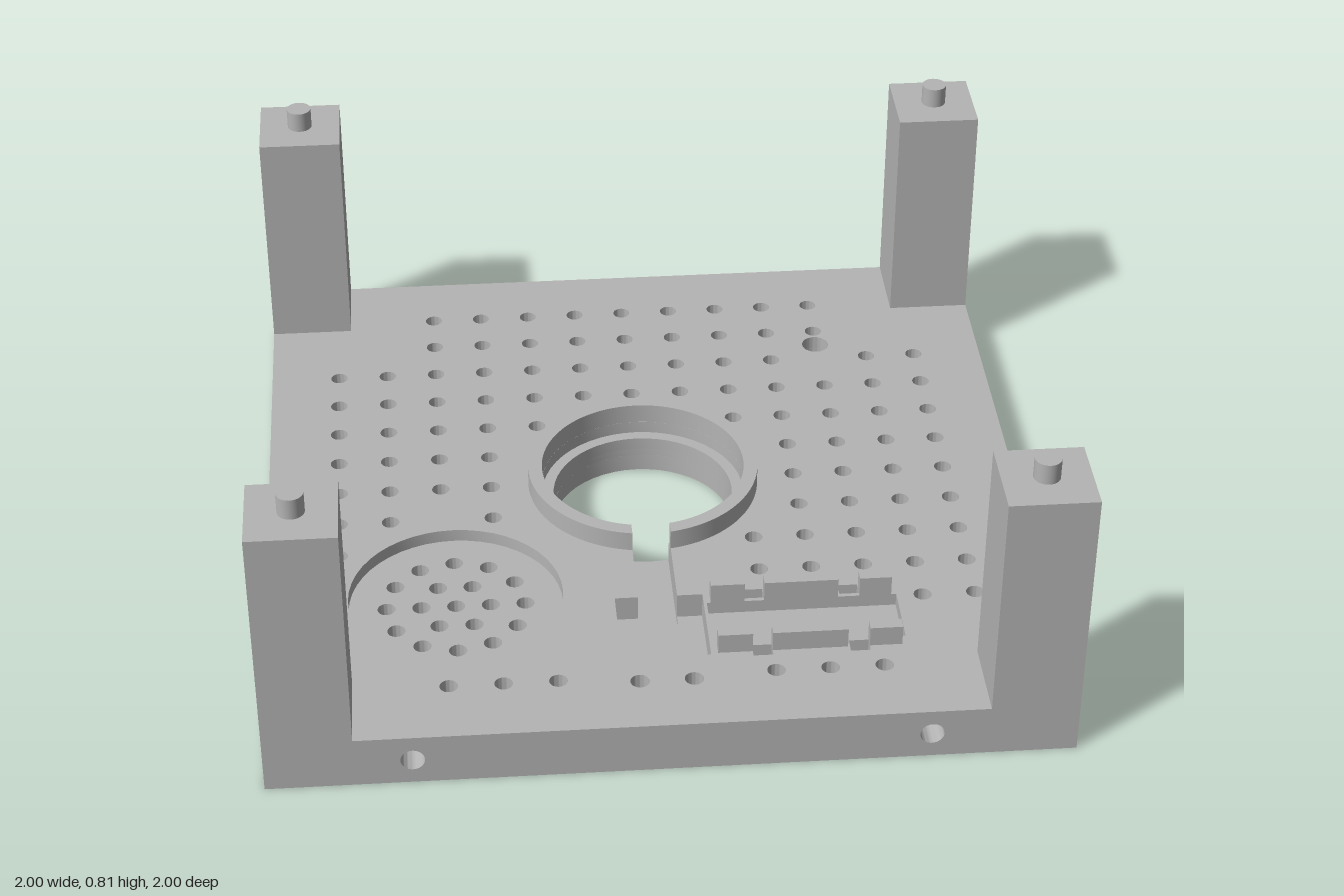
import * as THREE from 'three';
import { toCreasedNormals } from 'three/addons/utils/BufferGeometryUtils.js';

const PITCH = 0.1355;
// Vent grid, rows from back to front, columns from -x to +x
const VENTS = [
  '..ooooooooo..',
  '..ooooooooo..',
  'oooooooooo.oo',
  'ooooooooooooo',
  'ooooo...ooooo',
  'oooo.....oooo',
  'oooo.....oooo',
  'oo.o.....oooo',
  'o.......ooooo',
  '........ooooo',
  '...........oo',
  '.............',
  '..ooo...ooo..',
];
const DISK = [-0.515, 0.457];

function circle(x, y, r) {
  return new THREE.Path().absarc(x, y, r, 0, Math.PI * 2, false);
}

function polygon(points, Kind = THREE.Path) {
  return new Kind(points.map(([x, y]) => new THREE.Vector2(x, y)));
}

function rect(x0, y0, x1, y1, Kind) {
  return polygon([[x0, y0], [x1, y0], [x1, y1], [x0, y1]], Kind);
}

// Round opening joined to the cable channel, optionally ending in the square pocket
function keyhole(r, withPocket) {
  const a = Math.asin(0.05 / r);
  const p = new THREE.Path();
  p.absarc(0, 0, r, Math.PI / 2 + a, Math.PI * 2.5 - a, false);
  const end = withPocket
    ? [[0.05, 0.5], [0.115, 0.5], [0.115, 0.74], [-0.11, 0.74], [-0.11, 0.5], [-0.05, 0.5]]
    : [[0.05, 0.53], [-0.05, 0.53]];
  end.forEach(([x, y]) => p.lineTo(x, y));
  p.closePath();
  return p;
}

// Extrudes a plan (shape y becomes z) between two heights
function slab(shape, y0, y1, curveSegments = 24) {
  const g = new THREE.ExtrudeGeometry(shape, { depth: y1 - y0, bevelEnabled: false, curveSegments });
  g.rotateX(Math.PI / 2).translate(0, y1, 0);
  return toCreasedNormals(g, 0.5);
}

// Plate outline, with each edge set back between the corners for the side bars
function plateShape() {
  const pts = [];
  for (let i = 0; i < 4; i++) {
    const c = Math.round(Math.cos(i * Math.PI / 2)), s = Math.round(Math.sin(i * Math.PI / 2));
    for (const [x, y] of [[0.9, -0.78], [0.9, 0.78], [1, 0.78], [1, 1], [0.78, 1]]) {
      pts.push([x * c - y * s, x * s + y * c]);
    }
  }
  return polygon(pts, THREE.Shape);
}

function ventHoles() {
  const holes = [];
  VENTS.forEach((row, j) => [...row].forEach((c, i) => {
    if (c === 'o') holes.push(circle((i - 6) * PITCH, (j - 6) * PITCH, 0.023));
  }));
  holes.push(circle(0.54, -0.61, 0.037), circle(-0.07, 0.83, 0.024), circle(0.065, 0.83, 0.024));
  for (const x of [0.22, 0.465]) {
    holes.push(rect(x, 0.49, x + 0.05, 0.525), rect(x, 0.713, x + 0.05, 0.753));
  }
  return holes;
}

function speakerHoles() {
  const holes = [circle(DISK[0], DISK[1], 0.023)];
  for (const [n, r] of [[6, 0.089], [12, 0.178]]) {
    for (let i = 0; i < n; i++) {
      const a = i / n * Math.PI * 2;
      holes.push(circle(DISK[0] + r * Math.cos(a), DISK[1] + r * Math.sin(a), 0.023));
    }
  }
  return holes;
}

export function createModel() {
  const model = new THREE.Group();
  const grey = new THREE.MeshStandardMaterial({ color: 0xb4b4b4 });
  grey.name = 'grey';
  const add = (name, geometry, parent = model) => {
    const m = new THREE.Mesh(geometry, grey);
    m.name = name;
    parent.add(m);
    return m;
  };

  // Base plate in layers, each opening the recesses that reach its depth
  const corners = [[-1, -1], [1, -1], [1, 1], [-1, 1]];
  const sockets = corners.map(([x, z]) => circle(0.89 * x, 0.89 * z, 0.037));
  const layers = [
    ['plateBottom', 0, 0.05, [circle(0, 0, 0.24), ...sockets, ...speakerHoles()]],
    ['plateChannelLayer', 0.05, 0.07, [keyhole(0.24, false), ...speakerHoles()]],
    ['platePocketLayer', 0.07, 0.105, [keyhole(0.24, true), ...speakerHoles()]],
    ['plateTop', 0.105, 0.14, [keyhole(0.27, true), circle(...DISK, 0.275),
      rect(0.123, 0.536, 0.61, 0.704)]],
  ];
  for (const [name, y0, y1, openings] of layers) {
    const shape = plateShape();
    shape.holes.push(...openings, ...ventHoles());
    add(name, slab(shape, y0, y1));
  }

  // Side bars with screw holes
  const bar = rect(-0.78, 0, 0.78, 0.14, THREE.Shape);
  bar.holes.push(circle(-0.637, 0.07, 0.03), circle(0.637, 0.07, 0.03));
  const barGeometry = toCreasedNormals(
    new THREE.ExtrudeGeometry(bar, { depth: 0.1, bevelEnabled: false, curveSegments: 24 }), 0.5);
  for (let i = 0; i < 4; i++) {
    const side = add('sideBar', barGeometry.clone().translate(0, 0, 0.9));
    side.rotation.y = i * Math.PI / 2;
  }

  // Corner posts with locating pegs
  for (const [x, z] of corners) {
    const post = new THREE.Group();
    post.name = 'cornerPost';
    post.position.set(0.89 * x, 0, 0.89 * z);
    model.add(post);
    add('post', new THREE.BoxGeometry(0.22, 0.62, 0.22).translate(0, 0.45, 0), post);
    add('peg', new THREE.CylinderGeometry(0.033, 0.033, 0.055, 32).translate(0, 0.7875, 0), post);
  }

  // Raised collar, split at the cable channel
  const collar = new THREE.Shape();
  const outer = Math.asin(0.05 / 0.307), inner = Math.asin(0.05 / 0.27);
  collar.absarc(0, 0, 0.307, Math.PI / 2 + outer, Math.PI * 2.5 - outer, false);
  collar.absarc(0, 0, 0.27, Math.PI * 2.5 - inner, Math.PI / 2 + inner, true);
  collar.closePath();
  add('collar', slab(collar, 0.14, 0.195, 64));

  // Two slotted holder rails
  for (const z of [0.52, 0.72]) {
    for (const [x0, x1] of [[0.133, 0.22], [0.27, 0.46], [0.515, 0.597]]) {
      add('holderRail', new THREE.BoxGeometry(x1 - x0, 0.055, 0.032)
        .translate((x0 + x1) / 2, 0.1675, z));
    }
  }
  return model;
}
